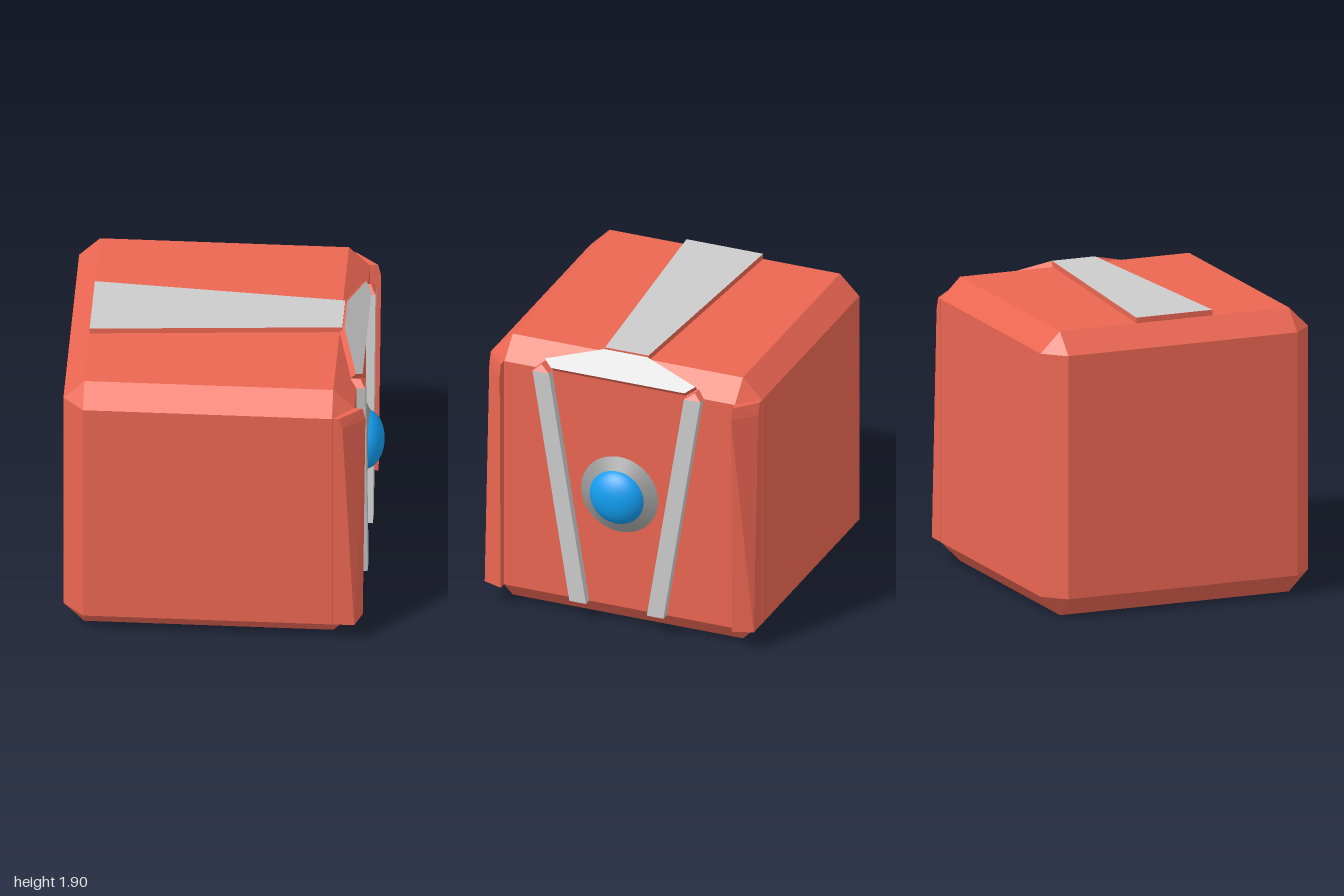
import * as THREE from 'three';
import { ConvexGeometry } from 'three/addons/geometries/ConvexGeometry.js';

const red = new THREE.MeshStandardMaterial({ color: 0xeb6652 });
const grey = new THREE.MeshStandardMaterial({ color: 0xcccccc });
const darkGrey = new THREE.MeshStandardMaterial({ color: 0x999999 });
const blue = new THREE.MeshStandardMaterial({ color: 0x119df0 });

function named(name, geometry, material) {
  const mesh = new THREE.Mesh(geometry, material);
  mesh.name = name;
  return mesh;
}

// Flat-faced convex solid from a few corner points
function hull(name, points, material) {
  return named(name, new ConvexGeometry(points.map(p => new THREE.Vector3(...p))), material);
}

// Thin plate: grey face, red rim
function plate(name, outline, depth) {
  const shape = new THREE.Shape(outline.map(p => new THREE.Vector2(...p)));
  return named(name, new THREE.ExtrudeGeometry(shape, { depth, bevelEnabled: false }), [grey, red]);
}

// Cube with flat chamfers and triangular corners
function chamferedBody() {
  const lo = [-1, 0, -0.93], hi = [0.857, 1.863, 0.93], c = 0.134;
  const points = [];
  for (let corner = 0; corner < 8; corner++) {
    for (let full = 0; full < 3; full++) {
      points.push([0, 1, 2].map(a => {
        const inset = a === full ? 0 : c;
        return corner >> a & 1 ? hi[a] - inset : lo[a] + inset;
      }));
    }
  }
  return hull('body', points, red);
}

export function createModel() {
  const model = new THREE.Group();
  model.add(chamferedBody());

  // Tapered strip along the top
  const strip = plate('topStrip', [[-0.866, -0.265], [0.74, -0.15], [0.74, 0.15], [-0.866, 0.265]], 0.037);
  strip.rotation.x = -Math.PI / 2;
  strip.position.y = 1.863;
  model.add(strip);

  // Brow plate lying on the top chamfer
  const brow = plate('browPlate',
    [[-0.46, 0], [0.46, 0], [0.52, 0.055], [0.15, 0.19], [-0.15, 0.19], [-0.52, 0.055]], 0.045);
  const s = Math.SQRT1_2;
  brow.applyMatrix4(new THREE.Matrix4().makeBasis(
    new THREE.Vector3(0, 0, -1), new THREE.Vector3(-s, s, 0), new THREE.Vector3(s, s, 0)));
  brow.position.set(0.857, 1.729, 0);
  model.add(brow);

  for (const side of [1, -1]) {
    const label = side > 0 ? 'front' : 'back';

    // Slanted face bar with red pointed ends
    const bottom = [], top = [];
    for (const x of [0.84, 0.912]) {
      for (const z of [0.21, 0.325]) bottom.push([x, 0.135, side * z]);
      for (const z of [0.467, 0.58]) top.push([x, 1.73, side * z]);
    }
    const bar = new THREE.Group();
    bar.name = label + 'Bar';
    bar.add(
      hull('barShaft', [...bottom, ...top], grey),
      hull('barFoot', [...bottom, [0.8, 0.1, side * 0.265], [0.88, 0.1, side * 0.265]], red),
      hull('barHead', [...top, [0.8, 1.77, side * 0.53], [0.88, 1.77, side * 0.53]], red));
    model.add(bar);

    // Tapered guard covering the vertical corner chamfer
    model.add(hull(label + 'CornerGuard', [
      [0.725, 0.135, 0.8], [0.725, 1.73, 0.8], [0.725, 0.135, 0.93], [0.725, 1.73, 0.93],
      [0.865, 0.135, 0.93], [0.912, 0.135, 0.8],
      [0.79, 1.65, 0.93], [0.928, 1.65, 0.8],
      [0.765, 1.73, 0.93], [0.91, 1.73, 0.8],
    ].map(([x, y, z]) => [x, y, side * z]), red));
  }

  // Eye: sloping ring with a flattened dome
  const ring = named('eyeRing', new THREE.CylinderGeometry(0.185, 0.27, 0.05, 48), darkGrey);
  ring.rotation.z = -Math.PI / 2;
  ring.position.set(0.88, 0.935, 0);
  const lens = named('eyeLens',
    new THREE.SphereGeometry(0.19, 40, 16, 0, Math.PI * 2, 0, Math.PI / 2), blue);
  lens.rotation.z = -Math.PI / 2;
  lens.scale.y = 0.12 / 0.19;
  lens.position.set(0.88, 0.935, 0);
  model.add(ring, lens);

  return model;
}
